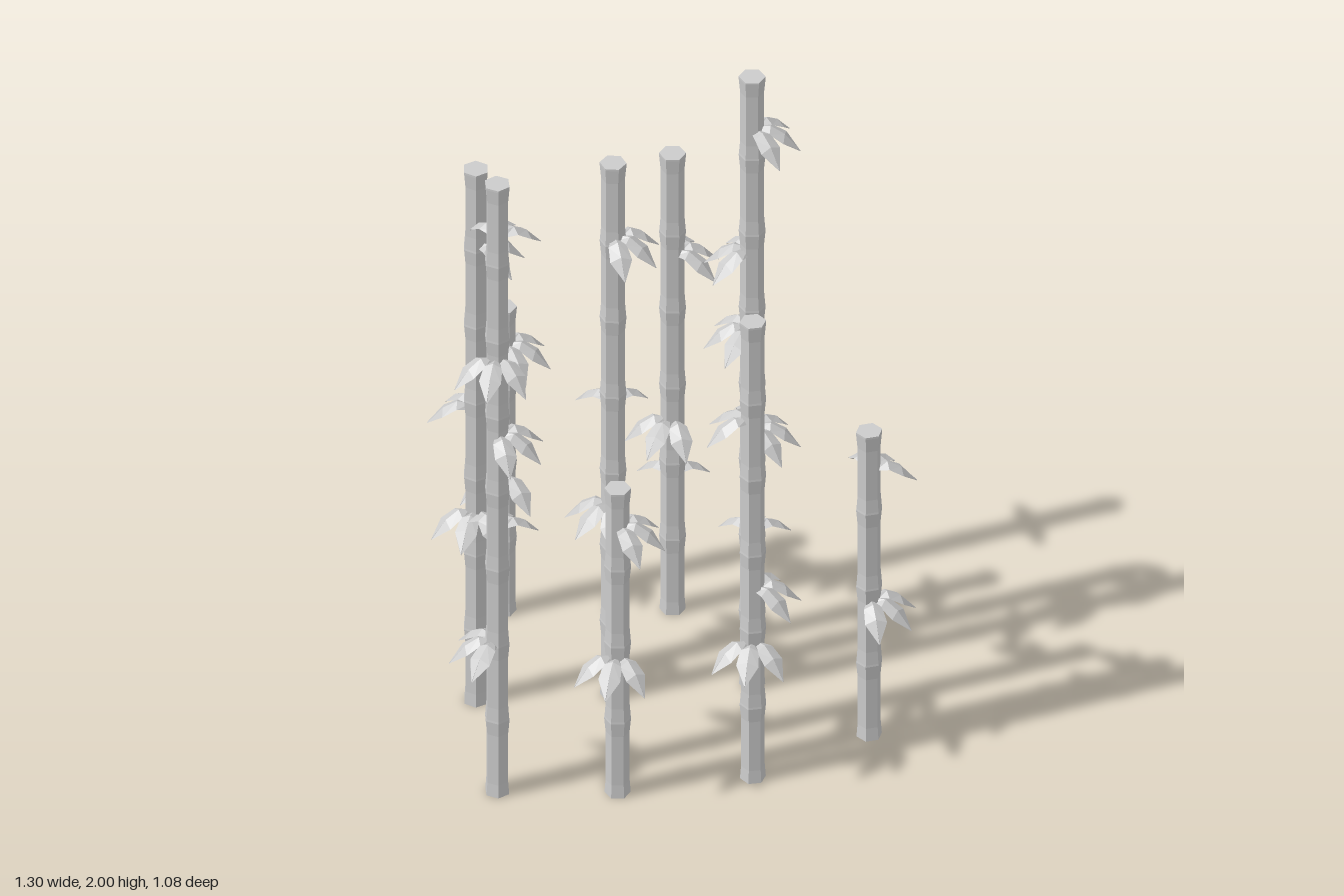
import * as THREE from 'three';

const material = new THREE.MeshStandardMaterial({ color: 0xcccccc, flatShading: true });
const rad = THREE.MathUtils.degToRad;

// Six-sided stalk with a waist between flared joints
function stalkGeometry(height) {
  const profile = [new THREE.Vector2(0, 0)];
  const count = Math.round(height / 0.25);
  const step = height / count;
  for (let i = 0; i < count; i++) {
    const y = i * step;
    profile.push(
      new THREE.Vector2(0.035, y),
      new THREE.Vector2(0.032, y + 0.04),
      new THREE.Vector2(0.032, y + step - 0.05),
      new THREE.Vector2(0.036, y + step - 0.006)
    );
  }
  profile.push(new THREE.Vector2(0.036, height), new THREE.Vector2(0, height));
  return new THREE.LatheGeometry(profile, 6);
}

// Drooping pointed blade along +x, lofted through four-point sections
function bladeGeometry() {
  // distance, height, half width
  const stations = [[0.015, 0.03, 0.012], [0.05, 0.036, 0.025], [0.088, 0.013, 0.03], [0.13, -0.032, 0.001]];
  const positions = [];
  const index = [];
  stations.forEach(([x, y, w], i) => {
    const thick = i === 3 ? 0.001 : 0.006;
    positions.push(x, y - thick, -w, x, y + thick, 0, x, y - thick, w, x, y - thick * 0.9, 0);
    if (i === 3) return;
    for (let j = 0; j < 4; j++) {
      const a = i * 4 + j, b = i * 4 + (j + 1) % 4;
      index.push(a, b, a + 4, b, b + 4, a + 4);
    }
  });
  index.push(0, 2, 1, 0, 3, 2, 12, 13, 14, 12, 14, 15);
  const geometry = new THREE.BufferGeometry();
  geometry.setAttribute('position', new THREE.Float32BufferAttribute(positions, 3));
  geometry.setIndex(index);
  geometry.computeVertexNormals();
  return geometry;
}

// Three blades fanned around one direction (degrees from +x towards +z)
function leafCluster(blade, height, angle) {
  const cluster = new THREE.Group();
  cluster.name = 'leafCluster';
  for (const spread of [-48, 0, 48]) {
    const leaf = new THREE.Mesh(blade, material);
    leaf.name = 'leafBlade';
    leaf.rotation.y = -rad(angle + spread);
    cluster.add(leaf);
  }
  cluster.position.y = height;
  return cluster;
}

// x, z, height, turn of the six sides, leaf clusters as [height, direction]
const stalks = [
  [-0.45, -0.41, 1, 30, [[0.42, 105], [0.85, 15]]],
  [-0.15, 0.41, 1, 30, [[0.42, 105], [0.85, 15]]],
  [0.52, 0.155, 1, 45, [[0.42, 30], [0.85, -60]]],
  [0, -0.415, 1.5, 30, [[0.42, -88], [0.6, 122], [1.15, -20]]],
  [0.21, 0.345, 1.5, 40, [[0.42, 100], [0.6, -8], [1.15, -152]]],
  [-0.525, -0.005, 1.75, 0, [[0.6, 108], [0.94, 232], [1.48, -5]]],
  [-0.16, -0.03, 1.75, 25, [[0.6, 141], [0.94, 268], [1.48, 28]]],
  [0.21, -0.075, 2, 30, [[0.48, -85], [0.82, 5], [1.15, 172], [1.4, 192], [1.8, 8]]],
  [-0.47, 0.405, 2, 5, [[0.47, 170], [0.84, -80], [1.15, 27], [1.4, 103], [1.8, -75]]]
];

export function createModel() {
  const model = new THREE.Group();
  model.name = 'bambooGrove';
  const blade = bladeGeometry();
  for (const [x, z, height, turn, clusters] of stalks) {
    const plant = new THREE.Group();
    plant.name = 'bambooPlant';
    const stalk = new THREE.Mesh(stalkGeometry(height), material);
    stalk.name = 'stalk';
    stalk.rotation.y = rad(turn);
    plant.add(stalk);
    for (const [y, angle] of clusters) plant.add(leafCluster(blade, y, angle));
    plant.position.set(x, 0, z);
    model.add(plant);
  }
  return model;
}
